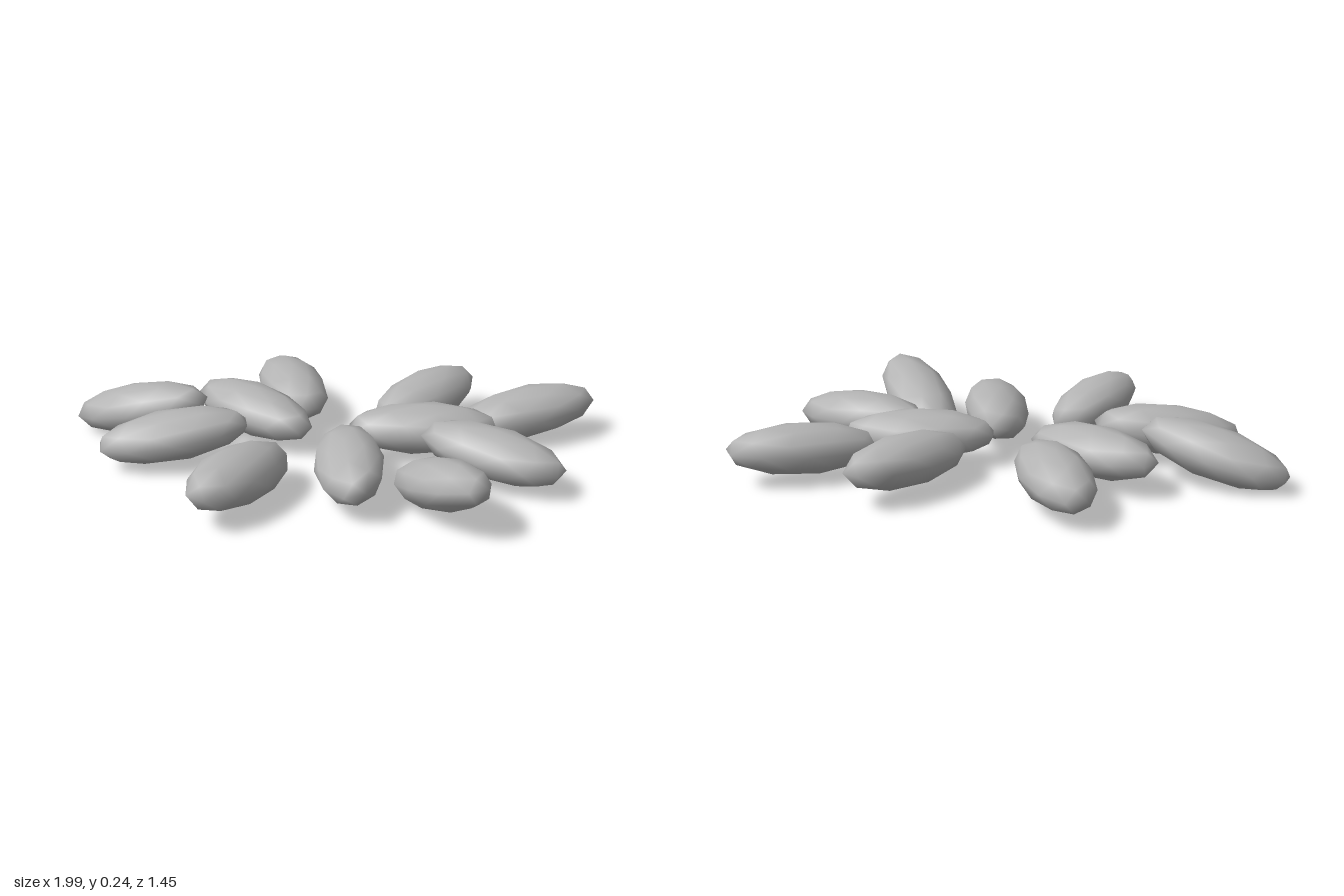
import * as THREE from 'three';

// Petal dimensions (half-length, half-thickness, half-width)
const HALF = [0.285, 0.092, 0.126];

// Each petal: inner tip, outer tip [x, y, z], roll about its own length
const PETALS = [
  [[-0.105, 0.13, -0.19], [-0.245, 0.12, -0.72], 0],
  [[-0.12, 0.12, -0.02], [-0.505, 0.14, -0.39], 0],
  [[-0.505, 0.195, -0.125], [-0.987, 0.065, -0.32], 0],
  [[-0.33, 0.165, 0.01], [-0.865, 0.095, 0.09], 0],
  [[-0.21, 0.11, 0.16], [-0.465, 0.15, 0.64], -0.15],
  [[0.025, 0.13, 0.035], [0.065, 0.13, 0.575], 0.2],
  [[0.255, 0.05, 0.24], [0.465, 0.21, 0.705], 0],
  [[0.33, 0.15, 0.07], [0.785, 0.11, 0.35], 0],
  [[0.055, 0.13, -0.015], [0.585, 0.13, -0.025], 0],
  [[0.18, 0.12, -0.125], [0.505, 0.145, -0.525], 0],
  [[0.47, 0.11, -0.085], [0.98, 0.145, -0.3], 0],
];

// Faceted ball standing on a corner, stretched into a petal along x
function petalGeometry() {
  const geo = new THREE.IcosahedronGeometry(1, 1);
  geo.rotateZ(Math.atan(2 / (1 + Math.sqrt(5))));
  geo.rotateY(Math.PI);
  geo.scale(...HALF);
  return geo;
}

export function createModel() {
  const model = new THREE.Group();
  model.name = 'scatteredPetals';
  const grey = new THREE.MeshStandardMaterial({ color: 0xb4b4b4 });
  grey.name = 'petalGrey';
  const geo = petalGeometry();
  const up = new THREE.Vector3(0, 1, 0);

  PETALS.forEach(([inner, outer, roll], i) => {
    const a = new THREE.Vector3(...inner);
    const b = new THREE.Vector3(...outer);
    const x = b.clone().sub(a).normalize();
    const z = x.clone().cross(up).normalize();
    const y = z.clone().cross(x);
    const petal = new THREE.Mesh(geo, grey);
    petal.name = `petal${i + 1}`;
    petal.quaternion.setFromRotationMatrix(new THREE.Matrix4().makeBasis(x, y, z));
    petal.rotateX(roll);
    petal.position.copy(a).add(b).multiplyScalar(0.5);
    model.add(petal);
  });
  return model;
}
